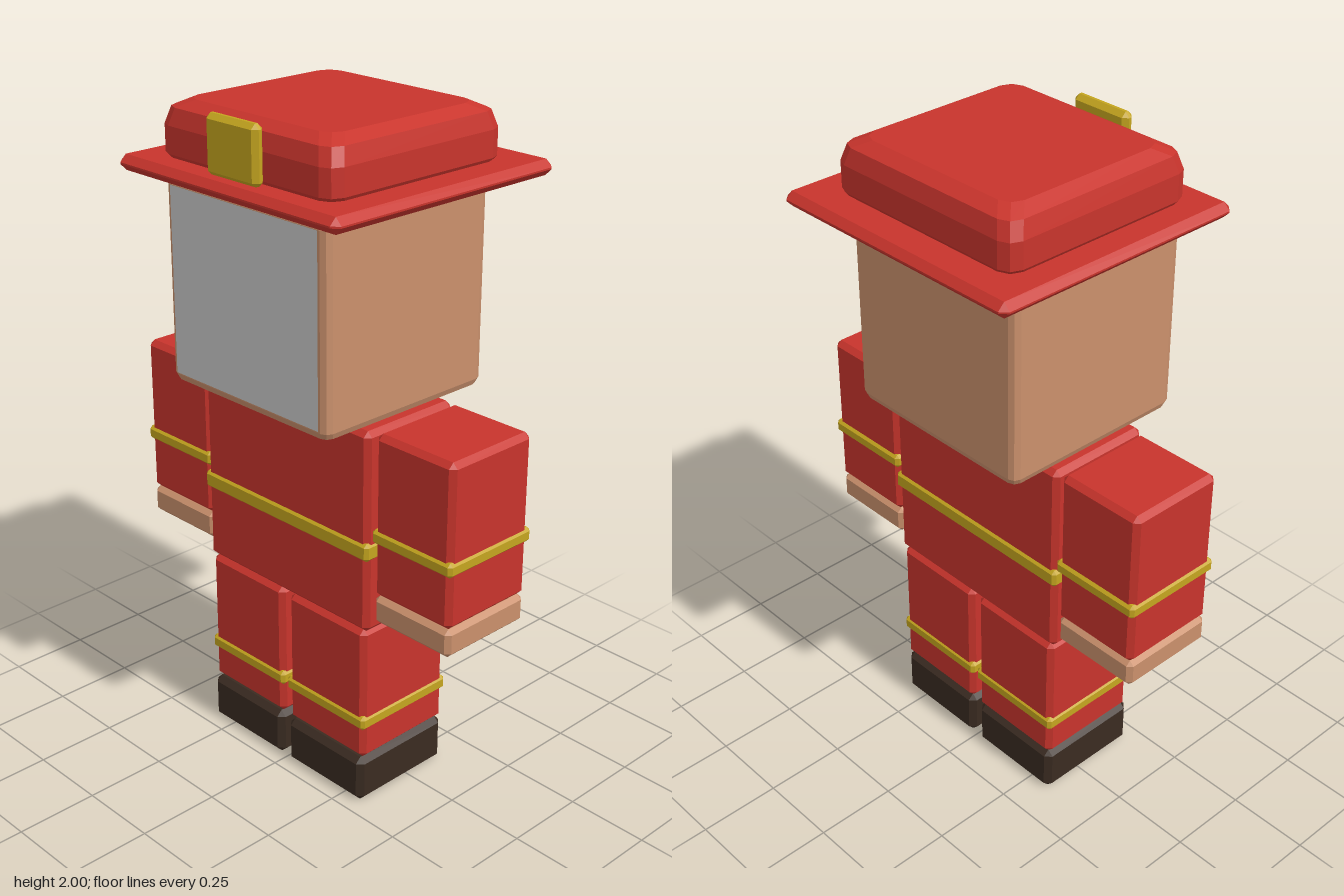
import * as THREE from 'three';
import { ConvexGeometry } from 'three/addons/geometries/ConvexGeometry.js';

const mat = (name, color) => {
  const m = new THREE.MeshStandardMaterial({ color });
  m.name = name;
  return m;
};

// Box with chamfered edges, given as [min, max] along each axis
function chamferBox([x0, x1], [y0, y1], [z0, z1], c) {
  const h = [(x1 - x0) / 2, (y1 - y0) / 2, (z1 - z0) / 2];
  const pts = [];
  for (const sx of [-1, 1]) for (const sy of [-1, 1]) for (const sz of [-1, 1])
    for (let a = 0; a < 3; a++) {
      const d = h.map((v, i) => (i === a ? v : v - c));
      pts.push(new THREE.Vector3(sx * d[0], sy * d[1], sz * d[2]));
    }
  return new ConvexGeometry(pts).translate((x0 + x1) / 2, (y0 + y1) / 2, (z0 + z1) / 2);
}

// Soft-topped block: stacked cut-corner rectangles, each layer [y, inset]
function softBlock([x0, x1], [z0, z1], layers, cut) {
  const cx = (x0 + x1) / 2, cz = (z0 + z1) / 2;
  const pts = [];
  for (const [y, inset] of layers) {
    const hx = (x1 - x0) / 2 - inset, hz = (z1 - z0) / 2 - inset;
    for (const sx of [-1, 1]) for (const sz of [-1, 1])
      for (const [a, b] of [[cut, 0], [cut * 0.3, cut * 0.3], [0, cut]])
        pts.push(new THREE.Vector3(cx + sx * (hx - a), y, cz + sz * (hz - b)));
  }
  return new ConvexGeometry(pts);
}

export function createModel() {
  const red = mat('red cloth', 0xc8342c);
  const yellow = mat('yellow trim', 0xc5a51f);
  const skin = mat('skin', 0xca906c);
  const grey = mat('face grey', 0xc9c9c9);
  const brown = mat('dark boots', 0x3a2b21);

  const model = new THREE.Group();
  model.name = 'figure';
  const add = (parent, name, geometry, material) => {
    const mesh = new THREE.Mesh(geometry, material);
    mesh.name = name;
    parent.add(mesh);
  };
  const group = (name) => {
    const g = new THREE.Group();
    g.name = name;
    model.add(g);
    return g;
  };

  // Torso and belt
  add(model, 'torso', chamferBox([-0.34, 0.335], [0.575, 1.187], [-0.138, 0.198], 0.016), red);
  add(model, 'belt', chamferBox([-0.345, 0.34], [0.802, 0.857], [-0.145, 0.205], 0.01), yellow);

  // Limbs, mirrored about the body's slightly offset middle
  for (const side of [1, -1]) {
    const label = side > 0 ? 'left' : 'right';
    const span = (a, b) => (side > 0 ? [a - 0.0025, b - 0.0025] : [-b - 0.0025, -a - 0.0025]);

    const arm = group(label + 'Arm');
    add(arm, 'sleeve', chamferBox(span(0.345, 0.628), [0.697, 1.187], [-0.132, 0.18], 0.016), red);
    add(arm, 'sleeveBand', chamferBox(span(0.34, 0.634), [0.86, 0.904], [-0.14, 0.187], 0.01), yellow);
    add(arm, 'hand', chamferBox(span(0.345, 0.628), [0.612, 0.697], [-0.13, 0.18], 0.014), skin);

    const leg = group(label + 'Leg');
    add(leg, 'trouser', chamferBox(span(0.013, 0.328), [0.15, 0.577], [-0.138, 0.198], 0.016), red);
    add(leg, 'trouserBand', chamferBox(span(0.007, 0.333), [0.25, 0.295], [-0.143, 0.204], 0.01), yellow);
    add(leg, 'boot', chamferBox(span(0.013, 0.328), [0.003, 0.15], [-0.14, 0.208], 0.018), brown);
  }

  // Head with a flat face panel
  const head = group('head');
  add(head, 'headBlock', softBlock([-0.32, 0.315], [-0.275, 0.33],
    [[1.19, 0.022], [1.197, 0.007], [1.215, 0], [1.765, 0], [1.784, 0.007], [1.79, 0.022]], 0.024), skin);
  const face = new THREE.PlaneGeometry(0.58, 0.545).translate(-0.005, 1.492, 0.332);
  add(head, 'facePanel', face, grey);

  // Hat
  const hat = group('hat');
  add(hat, 'brim', chamferBox([-0.43, 0.43], [1.793, 1.838], [-0.413, 0.408], 0.02), red);
  add(hat, 'crown', softBlock([-0.34, 0.333], [-0.31, 0.33],
    [[1.83, 0.012], [1.848, 0], [1.925, 0], [1.973, 0.014], [1.995, 0.055]], 0.045), red);
  add(hat, 'badge', chamferBox([-0.103, 0.097], [1.835, 2.0], [0.33, 0.367], 0.014), yellow);

  return model;
}
